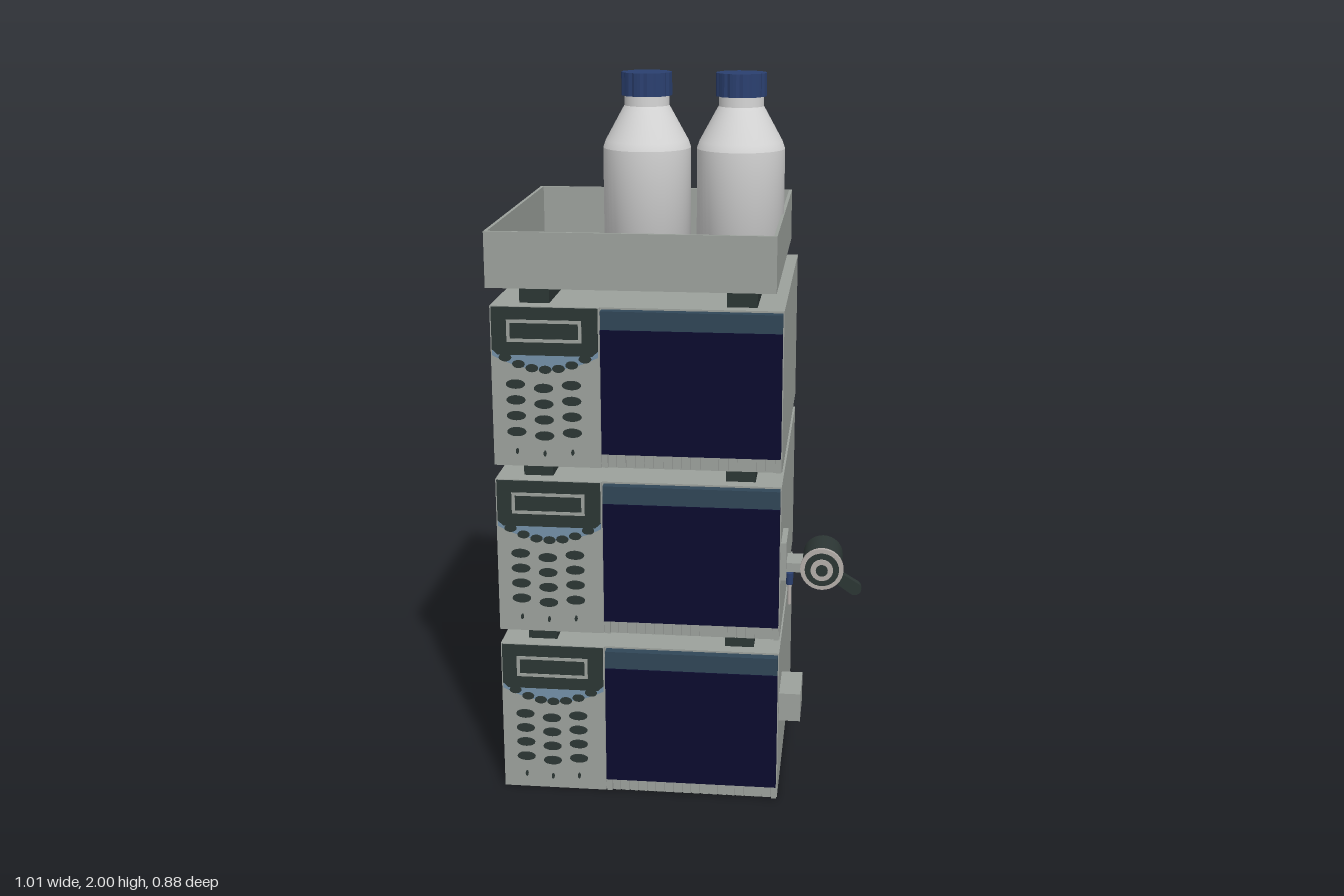
import * as THREE from 'three';

const mat = (name, color, side = THREE.FrontSide) => {
  const m = new THREE.MeshStandardMaterial({ color, side });
  m.name = name;
  return m;
};

export function createModel() {
  const M = {
    grey: mat('case grey', 0x9ca19c),
    dark: mat('dark green grey', 0x2c3634),
    navy: mat('door navy', 0x0b0b2e),
    slate: mat('slate blue', 0x304657),
    steel: mat('steel blue', 0x7390a8),
    white: mat('bottle white', 0xd6d6d6),
    cap: mat('cap blue', 0x2b4070),
    metal: mat('valve metal', 0xb4aeaa),
  };

  const add = (parent, name, geo, material, x = 0, y = 0, z = 0) => {
    const m = new THREE.Mesh(geo, material);
    m.name = name;
    m.position.set(x, y, z);
    parent.add(m);
    return m;
  };
  // Box given by its limits on each axis
  const box = (parent, name, material, x0, x1, y0, y1, z0, z1) =>
    add(parent, name, new THREE.BoxGeometry(x1 - x0, y1 - y0, z1 - z0), material,
      (x0 + x1) / 2, (y0 + y1) / 2, (z0 + z1) / 2);
  // Cylinder along z from z0 to z1
  const disc = (parent, name, material, r, x, y, z0, z1, sides = 32) => {
    const g = new THREE.CylinderGeometry(r, r, z1 - z0, sides).rotateX(Math.PI / 2);
    return add(parent, name, g, material, x, y, (z0 + z1) / 2);
  };
  const extrude = (shape, depth) =>
    new THREE.ExtrudeGeometry(shape, { depth, bevelEnabled: false, curveSegments: 16 });
  const rectPath = (P, x0, x1, y0, y1) => {
    const p = new P();
    p.moveTo(x0, y0);
    p.lineTo(x1, y0);
    p.lineTo(x1, y1);
    p.lineTo(x0, y1);
    p.closePath();
    return p;
  };

  const model = new THREE.Group();
  model.name = 'instrumentStack';

  // One instrument module: case, keypad, door, vent
  function makeUnit() {
    const u = new THREE.Group();
    box(u, 'case', M.grey, -0.497, 0.286, 0, 0.443, -0.44, 0.362);
    box(u, 'keypadPanel', M.grey, -0.497, -0.203, 0, 0.443, 0.362, 0.37);

    // Display with its framed screen
    const display = new THREE.Shape();
    display.moveTo(-0.493, 0.441);
    display.lineTo(-0.493, 0.325);
    display.lineTo(-0.478, 0.311);
    display.lineTo(-0.222, 0.311);
    display.lineTo(-0.207, 0.325);
    display.lineTo(-0.207, 0.441);
    add(u, 'displayPanel', extrude(display, 0.006), M.dark, 0, 0, 0.369);
    const frame = rectPath(THREE.Shape, -0.452, -0.25, 0.347, 0.408);
    frame.holes.push(rectPath(THREE.Path, -0.443, -0.259, 0.356, 0.399));
    add(u, 'screenFrame', extrude(frame, 0.002), M.grey, 0, 0, 0.375);

    // Curved band below the display
    const band = new THREE.Shape();
    band.moveTo(-0.493, 0.325);
    band.lineTo(-0.493, 0.308);
    band.quadraticCurveTo(-0.35, 0.232, -0.207, 0.308);
    band.lineTo(-0.207, 0.325);
    add(u, 'controlBand', extrude(band, 0.003), M.steel, 0, 0, 0.369);

    // Oval keys in three columns, with indicator dots below
    const key = (x, y, rx = 0.026, ry = 0.0125) =>
      disc(u, 'key', M.dark, 1, x, y, 0.369, 0.375, 20).scale.set(rx, ry, 1);
    [-0.432, -0.356, -0.28].forEach((x, c) => {
      const drop = c === 1 ? -0.01 : 0;
      [0.23, 0.186, 0.142, 0.097].forEach(y => key(x, y + drop));
      key(x, 0.042 + drop / 2, 0.004, 0.008);
    });
    for (let i = -3; i <= 3; i++) key(-0.35 + i * 0.036, 0.272 + i * i * 0.0035, 0.017, 0.011);

    // Door with its upper strip
    box(u, 'door', M.navy, -0.198, 0.283, 0.046, 0.388, 0.362, 0.393);
    box(u, 'doorStrip', M.slate, -0.198, 0.283, 0.388, 0.438, 0.362, 0.388);

    // Slatted vent along the bottom, with end posts
    for (let i = 0; i < 18; i++) {
      const x = -0.182 + i * 0.0252;
      box(u, 'ventSlat', M.grey, x, x + 0.021, 0.004, 0.043, 0.362, 0.372);
    }
    [-0.198, 0.27].forEach(x => box(u, 'ventPost', M.grey, x, x + 0.014, 0.004, 0.046, 0.362, 0.378));
    return u;
  }

  [0.004, 0.49, 0.974].forEach((y, i) => {
    const u = makeUnit();
    u.name = ['lowerUnit', 'middleUnit', 'upperUnit'][i];
    u.position.y = y;
    model.add(u);
    // Spacer feet on top of each unit
    const top = [0.49, 0.974, 1.466][i];
    [-0.425, 0.132].forEach(x => box(model, 'spacerFoot', M.dark, x, x + 0.081, y + 0.443, top, -0.055, 0.325));
  });

  // Open bottle tray
  const tray = new THREE.Group();
  tray.name = 'tray';
  model.add(tray);
  box(tray, 'trayFloor', M.grey, -0.507, 0.265, 1.465, 1.475, -0.442, 0.372);
  const rim = rectPath(THREE.Shape, -0.507, 0.265, -0.372, 0.442);
  rim.holes.push(rectPath(THREE.Path, -0.498, 0.256, -0.363, 0.433));
  add(tray, 'trayWalls', extrude(rim, 0.142).rotateX(-Math.PI / 2), M.grey, 0, 1.474, 0);

  // Bottles with ribbed caps
  const lathe = pts => new THREE.LatheGeometry(pts.map(p => new THREE.Vector2(...p)), 48);
  const ribbed = new THREE.Shape();
  for (let i = 0; i < 48; i++) {
    const r = i % 4 === 0 ? 0.0665 : 0.07;
    const a = (i / 48) * Math.PI * 2;
    ribbed[i ? 'lineTo' : 'moveTo'](Math.cos(a) * r, Math.sin(a) * r);
  }
  [-0.12, 0.141].forEach(x => {
    const b = new THREE.Group();
    b.name = 'bottle';
    b.position.set(x, 1.475, -0.003);
    model.add(b);
    add(b, 'bottleBody', lathe([[0, 0], [0.122, 0], [0.122, 0.32]]), M.white);
    add(b, 'bottleShoulder', lathe([[0.122, 0.32], [0.115, 0.34], [0.068, 0.425], [0.062, 0.435]]), M.white);
    add(b, 'bottleNeck', lathe([[0.062, 0.435], [0.062, 0.47]]), M.white);
    add(b, 'bottleCap', extrude(ribbed, 0.063).rotateX(-Math.PI / 2), M.cap, 0, 0.462, 0);
  });

  // Small box on the side of the lower unit
  box(model, 'sideBox', M.grey, 0.286, 0.346, 0.226, 0.309, 0.177, 0.325);

  // Side valve: bracket, barrel, dial, lever and needle
  const valve = new THREE.Group();
  valve.name = 'sideValve';
  model.add(valve);
  box(valve, 'mountPlate', M.grey, 0.286, 0.301, 0.662, 0.77, 0.23, 0.355);
  box(valve, 'bracketArm', M.grey, 0.3, 0.39, 0.684, 0.71, 0.268, 0.345);
  disc(valve, 'barrel', M.dark, 0.054, 0.4, 0.728, 0.31, 0.42);
  disc(valve, 'dial', M.metal, 0.058, 0.4, 0.728, 0.42, 0.431);
  disc(valve, 'dialFace', M.dark, 0.046, 0.4, 0.728, 0.43, 0.434);
  disc(valve, 'dialRing', M.metal, 0.03, 0.4, 0.728, 0.43, 0.438);
  disc(valve, 'dialHub', M.dark, 0.016, 0.4, 0.728, 0.43, 0.441);
  const lever = new THREE.Shape();
  lever.moveTo(0, -0.014);
  lever.lineTo(0.1, -0.018);
  lever.absarc(0.106, 0, 0.018, -Math.PI / 2, Math.PI / 2, false);
  lever.lineTo(0, 0.014);
  add(valve, 'lever', extrude(lever, 0.02), M.dark, 0.4, 0.728, 0.395).rotation.z = -0.58;
  add(valve, 'needleFitting', new THREE.CylinderGeometry(0.011, 0.009, 0.034, 16), M.cap, 0.31, 0.66, 0.33);
  add(valve, 'needle', new THREE.CylinderGeometry(0.005, 0.005, 0.075, 12), M.metal, 0.31, 0.622, 0.33);

  return model;
}
